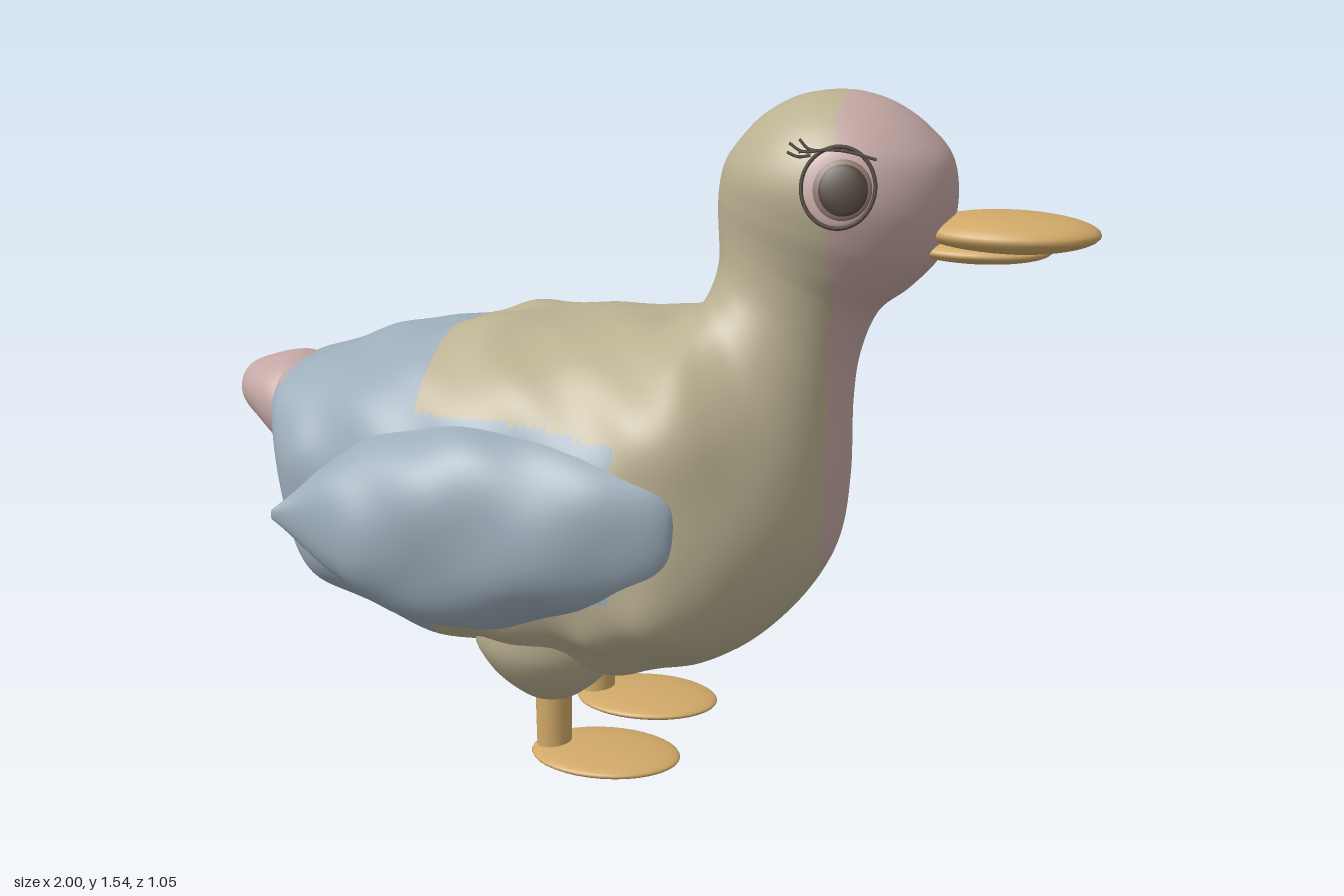
import * as THREE from 'three';

const material = (name, color) => new THREE.MeshStandardMaterial({ name, color });

// Tufts of feathers raised from the body: [x, y, |z|, radius, height]
const tufts = [
  [-0.3, 1, 0.08, 0.09, 0.025], [0.12, 0.46, 0.42, 0.08, 0.03], [0, 0.4, 0.4, 0.07, 0.03],
  [-0.74, 0.7, 0.29, 0.08, 0.02], [-0.7, 0.46, 0.28, 0.09, 0.025], [0.2, 0.85, 0.38, 0.1, 0.02]
];

// Rings run between an upper point, a lower point and a half width: [tx, ty, bx, by, w, z]
function loft(name, rows, { rings = 40, sides = 40, bump = 0, lumps = [], round = () => 1, mats, pick = () => 0 }) {
  const upper = new THREE.CatmullRomCurve3(rows.map(r => new THREE.Vector3(r[0], r[1], r[4])), false, 'catmullrom');
  const lower = new THREE.CatmullRomCurve3(rows.map(r => new THREE.Vector3(r[2], r[3], r[5] || 0)), false, 'catmullrom');
  const pos = [];
  for (let i = 0; i <= rings; i++) {
    const u = i / rings, t = upper.getPoint(u), b = lower.getPoint(u), e = round(u);
    for (let j = 0; j < sides; j++) {
      const a = j / sides * Math.PI * 2;
      const shape = v => Math.sign(v) * Math.pow(Math.abs(v), e);
      const c = shape(Math.cos(a)), s = shape(Math.sin(a));
      const x = (t.x + b.x) / 2 + (t.x - b.x) / 2 * c;
      const y = (t.y + b.y) / 2 + (t.y - b.y) / 2 * c;
      const z = b.z + Math.max(t.z, 0) * s;
      // soft feather ripples, fading out towards the neck and the breast
      const fade = bump * THREE.MathUtils.clamp((0.3 - x) * 4, 0, 1) * THREE.MathUtils.clamp((1.1 - y) * 8, 0, 1) * Math.sin(Math.PI * Math.min(1, u * 4) / 2);
      let n = fade * (Math.sin(x * 13 + z * 5) * Math.sin(z * 14 + y * 11 + 1) + 0.5 * Math.sin(x * 24 - z * 17) * Math.cos(y * 21 + x * 6));
      for (const [lx, ly, lz, r, h] of lumps) {
        n += h * Math.exp(-((x - lx) ** 2 + (y - ly) ** 2 + (Math.abs(z) - lz) ** 2) / (r * r));
      }
      pos.push(x, y + n * c, z + n * s);
    }
  }
  const faces = mats.map(() => []);
  const add = (...f) => {
    const mid = k => (pos[f[0] * 3 + k] + pos[f[1] * 3 + k] + pos[f[2] * 3 + k]) / 3;
    faces[pick(mid(0), mid(1), mid(2))].push(...f);
  };
  for (let i = 0; i < rings; i++) {
    for (let j = 0; j < sides; j++) {
      const k = (j + 1) % sides, a = i * sides + j, d = i * sides + k;
      add(a, d, a + sides);
      add(d, d + sides, a + sides);
    }
  }
  const geo = new THREE.BufferGeometry();
  geo.setAttribute('position', new THREE.Float32BufferAttribute(pos, 3));
  geo.setIndex(faces.flat());
  let start = 0;
  faces.forEach((f, m) => { geo.addGroup(start, f.length, m); start += f.length; });
  geo.computeVertexNormals();
  const mesh = new THREE.Mesh(geo, mats);
  mesh.name = name;
  return mesh;
}

function ellipsoid(name, mat, [x, y, z], [rx, ry, rz]) {
  const mesh = new THREE.Mesh(new THREE.SphereGeometry(1, 36, 20), mat);
  mesh.name = name;
  mesh.position.set(x, y, z);
  mesh.scale.set(rx, ry, rz);
  return mesh;
}

export function createModel() {
  const tan = material('tan feathers', 0xbab091);
  const blue = material('blue feathers', 0x9dadba);
  const pink = material('pink feathers', 0xc2a6a3);
  const gold = material('golden bill and feet', 0xd0a868);
  const dark = material('dark eye', 0x4d4138);
  const brown = material('brown iris', 0x8a7469);

  const duck = new THREE.Group();
  duck.name = 'duck';

  // Body, neck and head in one sweep from rump to crown
  const bodyRows = [
    [-0.87, 0.77, -0.865, 0.74, 0], [-0.86, 0.865, -0.815, 0.56, 0.19], [-0.78, 0.9, -0.76, 0.4, 0.28],
    [-0.65, 0.94, -0.63, 0.325, 0.35], [-0.42, 0.99, -0.42, 0.275, 0.41], [-0.2, 1.02, -0.15, 0.235, 0.445],
    [0, 1.03, 0.05, 0.235, 0.457], [0.08, 1.037, 0.22, 0.275, 0.445], [0.13, 1.06, 0.35, 0.37, 0.4],
    [0.155, 1.09, 0.44, 0.5, 0.333], [0.17, 1.13, 0.47, 0.66, 0.262], [0.178, 1.17, 0.475, 0.85, 0.21],
    [0.178, 1.2, 0.49, 0.97, 0.188], [0.175, 1.24, 0.53, 1.07, 0.186], [0.173, 1.28, 0.6, 1.13, 0.2],
    [0.175, 1.33, 0.66, 1.2, 0.222], [0.187, 1.385, 0.69, 1.3, 0.236], [0.215, 1.43, 0.68, 1.4, 0.22],
    [0.265, 1.485, 0.63, 1.465, 0.177], [0.33, 1.525, 0.56, 1.515, 0.115], [0.39, 1.541, 0.49, 1.54, 0.05],
    [0.44, 1.545, 0.44, 1.545, 0]
  ];
  duck.add(loft('bodyNeckAndHead', bodyRows, {
    rings: 210, sides: 120, bump: 0.012, lumps: tufts, mats: [tan, blue, pink],
    round: u => 0.82 + 0.18 * THREE.MathUtils.smoothstep(u, 0.36, 0.52),
    pick: (x, y, z) => {
      if (x < -0.825 && y > 0.64 && Math.abs(z) < 0.16) return 2;
      if (x < -0.42) return 1;
      // blue shoulder of the folded wing
      if (x < 0.05 && y > 0.5 && y < 0.86 && Math.abs(z) > 0.34 + (x + 0.42) * 0.17) return 1;
      if (y > 1.08) return x > 0.455 ? 2 : 0;
      const width = y > 0.62 ? 0.15 - 0.025 * Math.sin(Math.PI * THREE.MathUtils.clamp((y - 0.7) / 0.38, 0, 1))
        : 0.15 * Math.sqrt(Math.max(0, 1 - ((0.62 - y) / 0.15) ** 2));
      return x > 0.36 && Math.abs(z) < width ? 2 : 0;
    }
  }));

  // Pink tail tip
  duck.add(loft('tail', [
    [-1, 0.8, -1, 0.8, 0], [-0.985, 0.845, -0.985, 0.755, 0.06], [-0.94, 0.868, -0.93, 0.71, 0.11],
    [-0.86, 0.886, -0.84, 0.635, 0.155], [-0.78, 0.87, -0.76, 0.62, 0.14]
  ], { mats: [pink] }));

  // Bill
  duck.add(ellipsoid('upperBill', gold, [0.803, 1.258, 0], [0.192, 0.042, 0.137]));
  duck.add(ellipsoid('lowerBill', gold, [0.74, 1.218, 0], [0.155, 0.027, 0.105]));

  // Paired parts, mirrored across z
  for (const side of [1, -1]) {
    const half = new THREE.Group();
    half.name = side > 0 ? 'frontSide' : 'backSide';
    half.scale.z = side;

    // Folded wing with a pointed rear tip
    half.add(loft('wing', [
      [-0.73, 0.635, -0.73, 0.615, 0, 0.44], [-0.6, 0.75, -0.57, 0.46, 0.125, 0.355],
      [-0.48, 0.81, -0.48, 0.4, 0.185, 0.325], [-0.3, 0.85, -0.3, 0.385, 0.2, 0.325],
      [-0.1, 0.845, -0.1, 0.42, 0.18, 0.335], [0.08, 0.81, 0.08, 0.485, 0.13, 0.355],
      [0.17, 0.765, 0.17, 0.55, 0.065, 0.385], [0.2, 0.69, 0.2, 0.66, 0, 0.4]
    ], { rings: 60, sides: 48, bump: 0.009, round: () => 0.88, mats: [blue] }));

    // Leg with a flared, feathered thigh
    const flare = [[0, 0.16], [0.05, 0.165], [0.095, 0.195], [0.14, 0.24], [0.175, 0.3], [0.18, 0.36]];
    const thigh = new THREE.Mesh(new THREE.LatheGeometry(new THREE.SplineCurve(flare.map(p => new THREE.Vector2(...p))).getPoints(16), 36), tan);
    thigh.name = 'thigh';
    thigh.position.set(-0.17, 0, 0.175);
    half.add(thigh);
    const leg = new THREE.Mesh(new THREE.CylinderGeometry(0.043, 0.04, 0.18, 24), gold);
    leg.name = 'leg';
    leg.position.set(-0.17, 0.115, 0.17);
    half.add(leg);
    half.add(ellipsoid('foot', gold, [-0.045, 0.025, 0.17], [0.175, 0.022, 0.132]));

    // Eye with a thin rim and lashes
    const eye = new THREE.Group();
    eye.name = 'eye';
    eye.position.set(0.477, 1.372, 0.229);
    eye.rotation.set(-0.24, 0.12, 0);
    const rim = new THREE.Mesh(new THREE.TorusGeometry(0.076, 0.004, 8, 40), dark);
    rim.name = 'eyeRim';
    rim.scale.y = 1.1;
    eye.add(rim);
    eye.add(ellipsoid('eyeball', pink, [0, 0, -0.004], [0.075, 0.082, 0.014]));
    eye.add(ellipsoid('iris', brown, [0.008, -0.004, 0.002], [0.062, 0.064, 0.014]));
    eye.add(ellipsoid('pupil', dark, [0.01, -0.005, 0.005], [0.054, 0.056, 0.015]));
    const strokes = [
      [[-0.085, 0.068], [0, 0.075], [0.075, 0.06]], [[-0.05, 0.07], [-0.08, 0.07], [-0.105, 0.085]],
      [[-0.04, 0.072], [-0.065, 0.075], [-0.085, 0.094]], [[-0.06, 0.062], [-0.085, 0.058], [-0.108, 0.066]]
    ];
    for (const path of strokes) {
      const curve = new THREE.CatmullRomCurve3(path.map(([x, y]) => new THREE.Vector3(x, y, 0.008)));
      const lash = new THREE.Mesh(new THREE.TubeGeometry(curve, 10, 0.0035, 6), dark);
      lash.name = 'eyelash';
      eye.add(lash);
    }
    half.add(eye);
    duck.add(half);
  }
  return duck;
}
